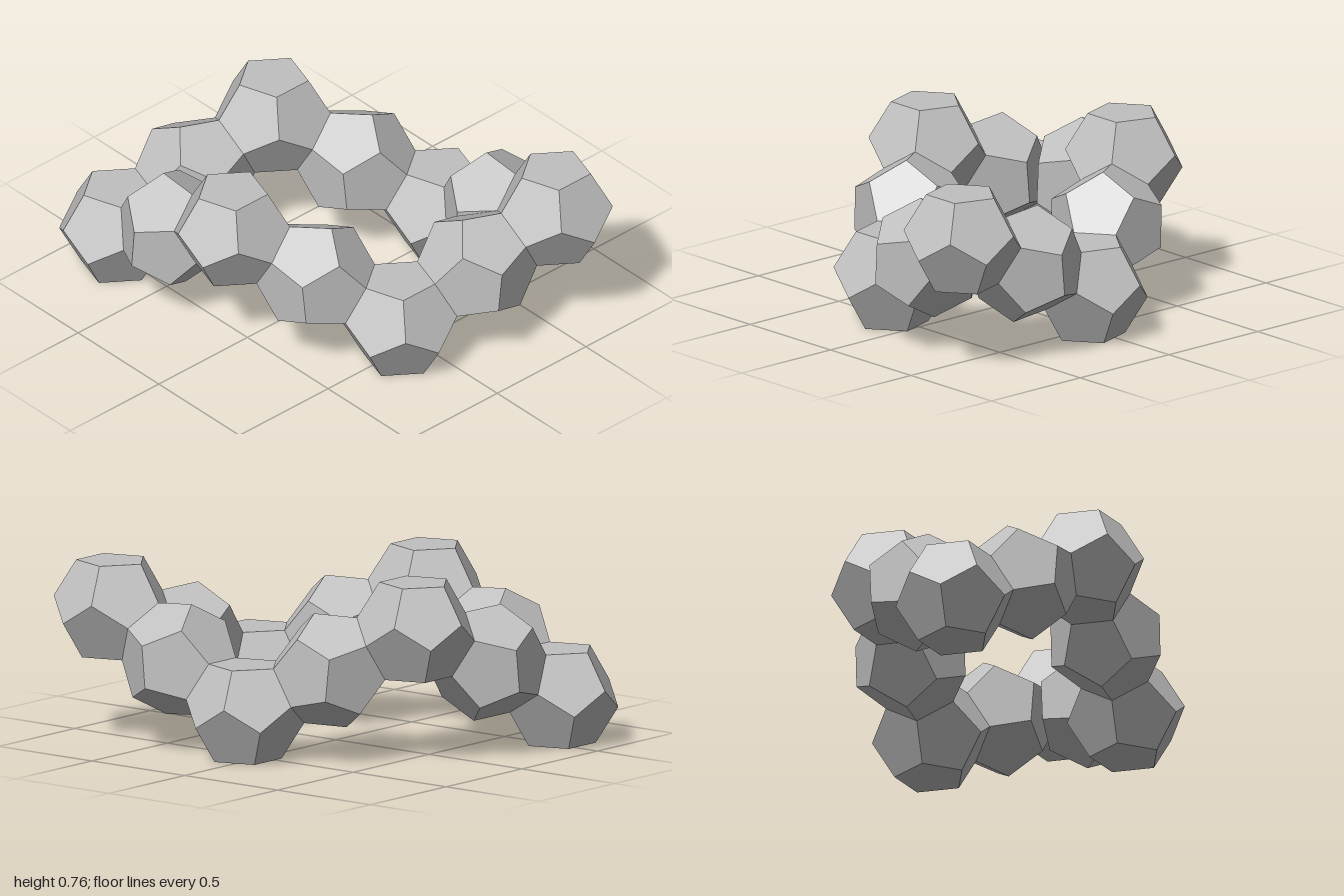
import * as THREE from 'three';

const INRADIUS = 0.1993;               // centre to face
const CIRCUMRADIUS = INRADIUS / 0.79465;

// Regular dodecahedron standing on a face, with one upper side face towards +x
function uprightDodecahedron() {
  const geometry = new THREE.DodecahedronGeometry(CIRCUMRADIUS);
  const normals = geometry.attributes.normal;
  const up = new THREE.Vector3().fromBufferAttribute(normals, 0);
  const side = new THREE.Vector3();
  for (let i = 0; i < normals.count; i++) {
    side.fromBufferAttribute(normals, i);
    if (Math.abs(side.dot(up) - 0.447) < 0.01) break;
  }
  side.addScaledVector(up, -side.dot(up)).normalize();
  const third = side.clone().cross(up);
  const basis = new THREE.Matrix4().makeBasis(side, up, third);
  return geometry.applyMatrix4(basis.transpose());
}

export function createModel() {
  const group = new THREE.Group();
  group.name = 'dodecahedronRing';
  const grey = new THREE.MeshStandardMaterial({ color: 0xc0c0c0, flatShading: true });
  grey.name = 'light grey';
  const geometry = uprightDodecahedron();

  const tilt = Math.atan(0.5);         // slope of the side face normals
  const headings = [180, 144, 108, 0, -36, -72];
  const steps = headings.map((degrees, i) => {
    const a = THREE.MathUtils.degToRad(degrees);
    const rise = i % 2 ? 1 : -1;
    return new THREE.Vector3(
      Math.cos(a) * Math.cos(tilt), rise * Math.sin(tilt), Math.sin(a) * Math.cos(tilt));
  });

  // The first three steps lead to the opposite corner, so start half of them back
  const position = new THREE.Vector3();
  for (const step of steps.slice(0, 3)) position.addScaledVector(step, -2 * INRADIUS);
  position.y = INRADIUS + 4 * INRADIUS * Math.sin(tilt);

  // Each step holds an upright cell and a link cell turned half round the step axis
  steps.forEach((step, i) => {
    const cell = new THREE.Mesh(geometry, grey);
    cell.name = (i % 2 ? 'lowerCell' : 'upperCell') + (i + 1);
    cell.position.copy(position);

    const link = new THREE.Mesh(geometry, grey);
    link.name = 'linkCell' + (i + 1);
    link.position.copy(position).addScaledVector(step, 2 * INRADIUS);
    link.quaternion.setFromAxisAngle(step, Math.PI);

    group.add(cell, link);
    position.addScaledVector(step, 4 * INRADIUS);
  });
  return group;
}
